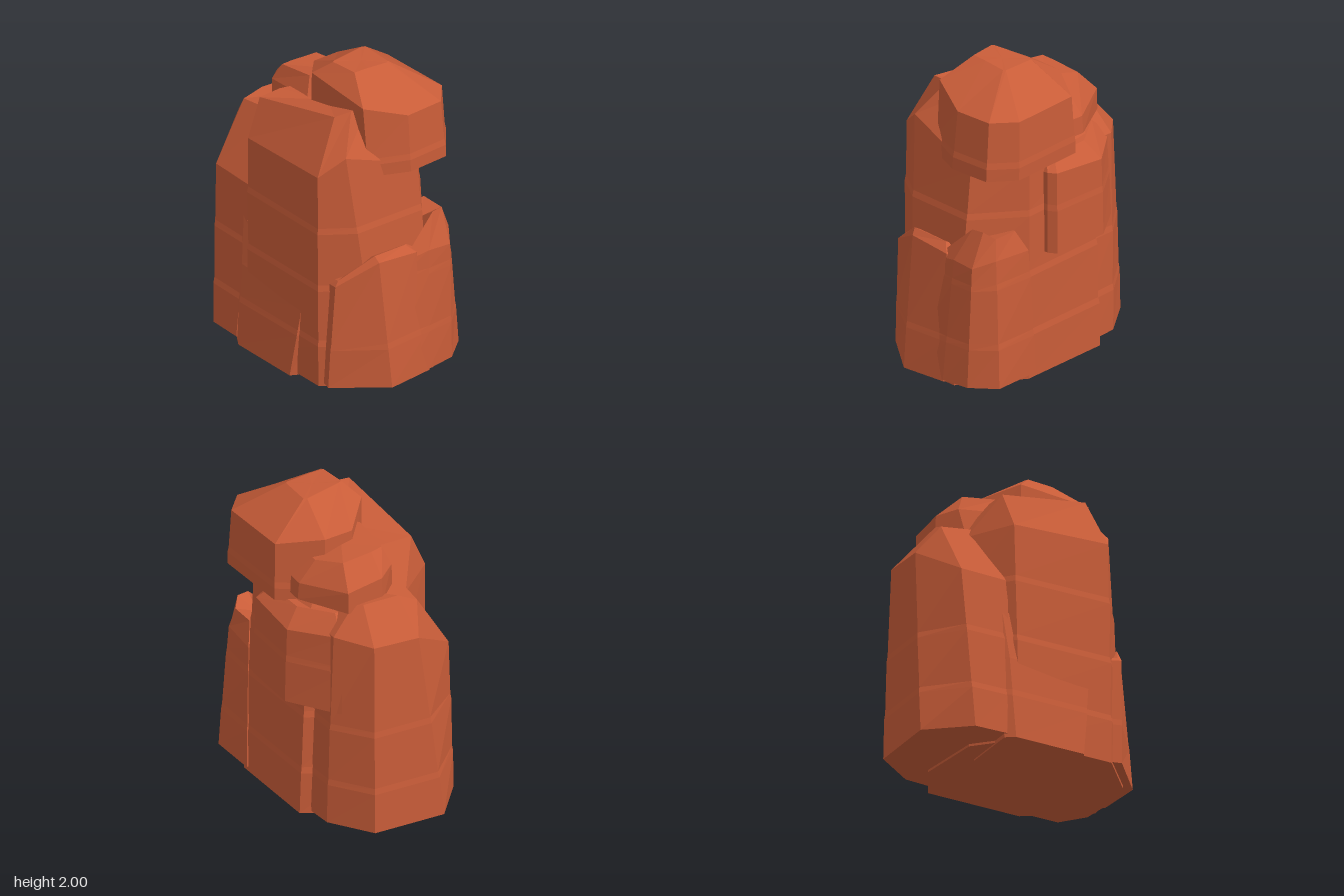
import * as THREE from 'three';

const sandstone = new THREE.MeshStandardMaterial({ color: 0xc85c38 });
sandstone.name = 'red sandstone';

// heights of the faint strata ledges
const STRATA = [0.31, 0.7, 1.1, 1.5];

// Adds ledges to the wall between two rings of [x, y, z] corners.
function addStrata(foot, shoulder) {
  const low = Math.max(...foot.map(p => p[1])) + 0.05;
  const high = Math.min(...shoulder.map(p => p[1])) - 0.05;
  const cx = foot.reduce((s, p) => s + p[0], 0) / foot.length;
  const cz = foot.reduce((s, p) => s + p[2], 0) / foot.length;
  const rings = [foot];
  for (const level of STRATA) {
    if (level < low || level > high) continue;
    for (const [y, swell] of [[level - 0.02, 1.012], [level + 0.02, 1]]) {
      rings.push(foot.map((p, i) => {
        const q = shoulder[i], t = (y - p[1]) / (q[1] - p[1]);
        const x = p[0] + (q[0] - p[0]) * t, z = p[2] + (q[2] - p[2]) * t;
        return [cx + (x - cx) * swell, y, cz + (z - cz) * swell];
      }));
    }
  }
  rings.push(shoulder);
  return rings;
}

// A faceted rock: flat foot, leaning walls with ledges, chamfered crown.
function rock(name, footY, outline, shoulder, crown) {
  const foot = outline.map(([x, z]) => [x, footY, z]);
  const rings = [...addStrata(foot, shoulder), crown];
  const n = foot.length, pos = [];
  const tri = (a, b, c) => pos.push(...a, ...b, ...c);
  const middle = r => [0, 1, 2].map(k => r.reduce((s, p) => s + p[k], 0) / n);
  const under = middle(foot), over = middle(crown);
  for (let i = 0; i < n; i++) {
    const j = (i + 1) % n;
    for (let r = 0; r < rings.length - 1; r++) {
      const a = rings[r], b = rings[r + 1];
      tri(a[i], a[j], b[j]);
      tri(a[i], b[j], b[i]);
    }
    tri(under, foot[j], foot[i]);
    tri(over, crown[i], crown[j]);
  }
  const geometry = new THREE.BufferGeometry();
  geometry.setAttribute('position', new THREE.Float32BufferAttribute(pos, 3));
  geometry.computeVertexNormals();
  const mesh = new THREE.Mesh(geometry, sandstone);
  mesh.name = name;
  return mesh;
}

// Corners run front-left, front-right, right, back-right, back-left, left.
export function createModel() {
  const group = new THREE.Group();
  group.name = 'rockFormation';
  group.add(
    // tall central column
    rock('mainColumn', 0.01,
      [[-0.2, 0.49], [0.45, 0.48], [0.7, 0.19], [0.73, -0.2], [0.35, -0.47], [-0.3, -0.46], [-0.45, -0.2], [-0.42, 0.25]],
      [[-0.23, 1.46, 0.47], [0.43, 1.48, 0.47], [0.52, 1.6, 0.32], [0.58, 1.4, -0.2], [0.3, 1.4, -0.43], [-0.3, 1.38, -0.4], [-0.42, 1.43, 0], [-0.42, 1.43, 0.22]],
      [[-0.25, 1.7, 0.36], [0.375, 1.82, 0.29], [0.39, 1.82, 0.17], [0.36, 1.8, 0], [0.2, 1.6, -0.2], [-0.15, 1.6, -0.2], [-0.22, 1.68, 0], [-0.25, 1.7, 0.2]]),
    // tapered slab against the front foot
    rock('frontSlab', 0,
      [[-0.25, 0.53], [0.23, 0.525], [0.3, 0.4], [0.25, 0.1], [0.1, 0], [-0.1, 0], [-0.3, 0.1], [-0.31, 0.49]],
      [[-0.27, 0.55, 0.485], [0.29, 0.5, 0.478], [0.3, 0.5, 0.4], [0.25, 0.5, 0.1], [0.1, 0.5, 0], [-0.1, 0.5, 0], [-0.3, 0.5, 0.1], [-0.33, 0.55, 0.45]],
      [[-0.3, 0.87, 0.445], [0.2, 0.85, 0.42], [0.25, 0.8, 0.35], [0.2, 0.8, 0.1], [0.1, 0.8, 0], [-0.1, 0.8, 0], [-0.3, 0.8, 0.1], [-0.34, 0.87, 0.42]]),
    // broad column at -x
    rock('sideColumn', 0.025,
      [[-0.52, 0.5], [-0.3, 0.505], [-0.1, 0.3], [-0.15, -0.3], [-0.3, -0.4], [-0.5, -0.385], [-0.765, -0.2], [-0.78, 0.28]],
      [[-0.58, 1.1, 0.43], [-0.25, 1.09, 0.43], [-0.15, 1.15, 0.3], [-0.2, 1.33, -0.25], [-0.3, 1.33, -0.34], [-0.52, 1.33, -0.35], [-0.72, 1.3, -0.18], [-0.73, 1.29, 0.13]],
      [[-0.59, 1.47, 0.2], [-0.3, 1.51, 0.2], [-0.25, 1.51, 0.1], [-0.25, 1.5, -0.15], [-0.35, 1.5, -0.2], [-0.5, 1.5, -0.2], [-0.54, 1.51, -0.15], [-0.56, 1.52, 0.08]]),
    // low buttress at +x
    rock('frontButtress', 0.03,
      [[0.45, 0.45], [0.53, 0.47], [0.78, 0.17], [0.765, -0.14], [0.6, -0.3], [0.3, -0.2], [0.3, 0.2], [0.42, 0.4]],
      [[0.48, 0.73, 0.42], [0.55, 0.74, 0.43], [0.68, 0.88, 0.19], [0.69, 0.85, -0.1], [0.55, 0.8, -0.25], [0.3, 0.8, -0.2], [0.3, 0.8, 0.2], [0.45, 0.74, 0.38]],
      [[0.49, 0.76, 0.39], [0.54, 0.77, 0.4], [0.65, 0.92, 0.2], [0.64, 0.9, -0.05], [0.5, 0.85, -0.2], [0.35, 0.85, -0.1], [0.35, 0.85, 0.2], [0.46, 0.77, 0.36]]),
    // peaked buttress behind it
    rock('backButtress', 0.04,
      [[0.6, 0.1], [0.76, 0.06], [0.765, -0.14], [0.75, -0.33], [0.63, -0.485], [0.3, -0.48], [0.3, -0.2], [0.4, 0]],
      [[0.58, 0.78, 0.04], [0.67, 0.8, 0], [0.71, 0.84, -0.18], [0.72, 0.83, -0.34], [0.6, 0.87, -0.43], [0.33, 0.86, -0.45], [0.3, 0.86, -0.3], [0.4, 0.82, 0]],
      [[0.54, 0.86, -0.1], [0.6, 0.88, -0.18], [0.64, 1.05, -0.27], [0.63, 1.05, -0.35], [0.57, 1.0, -0.4], [0.4, 1.0, -0.4], [0.4, 0.98, -0.3], [0.45, 0.9, -0.15]]),
    // overhanging block on the back
    rock('backBlock', 0.8,
      [[-0.4, 0], [0.1, 0], [0.17, -0.2], [0.18, -0.47], [0.15, -0.525], [-0.25, -0.535], [-0.57, -0.32], [-0.5, -0.1]],
      [[-0.4, 1.3, 0], [0.1, 1.3, 0], [0.16, 1.3, -0.2], [0.17, 1.33, -0.46], [0.14, 1.33, -0.51], [-0.25, 1.3, -0.52], [-0.54, 1.32, -0.31], [-0.48, 1.3, -0.1]],
      [[-0.35, 1.44, 0], [0.05, 1.44, 0], [0.1, 1.43, -0.2], [0.12, 1.41, -0.4], [0.08, 1.41, -0.43], [-0.2, 1.41, -0.42], [-0.42, 1.43, -0.28], [-0.4, 1.44, -0.1]]),
    // middle boulder
    rock('middleBoulder', 1.46,
      [[-0.38, 0.15], [-0.05, 0.17], [0.1, 0], [0.1, -0.3], [-0.08, -0.41], [-0.2, -0.415], [-0.515, -0.24], [-0.515, 0]],
      [[-0.42, 1.66, 0.12], [-0.05, 1.7, 0.15], [0.1, 1.7, 0], [0.1, 1.6, -0.3], [-0.08, 1.57, -0.4], [-0.2, 1.57, -0.405], [-0.51, 1.6, -0.24], [-0.51, 1.64, 0]],
      [[-0.37, 1.77, 0.08], [-0.11, 1.81, 0.08], [0, 1.81, 0], [0, 1.76, -0.2], [-0.1, 1.7, -0.29], [-0.2, 1.7, -0.29], [-0.38, 1.74, -0.2], [-0.38, 1.76, 0]]),
    // boulder on the summit
    rock('summitBoulder', 1.4,
      [[0, 0.16], [0.52, 0.14], [0.635, -0.1], [0.635, -0.38], [0.48, -0.51], [-0.05, -0.49], [-0.22, -0.24], [-0.22, -0.03]],
      [[0, 1.91, 0.155], [0.48, 1.87, 0.15], [0.6, 1.78, -0.11], [0.6, 1.78, -0.37], [0.46, 1.78, -0.495], [-0.03, 1.78, -0.475], [-0.2, 1.82, -0.22], [-0.2, 1.83, -0.03]],
      [[0.1, 2, 0.07], [0.28, 2, 0.05], [0.285, 1.995, -0.05], [0.29, 1.98, -0.2], [0.28, 1.98, -0.215], [0.06, 1.98, -0.22], [0.05, 1.98, -0.2], [0.09, 2, 0.05]]),
  );
  return group;
}
